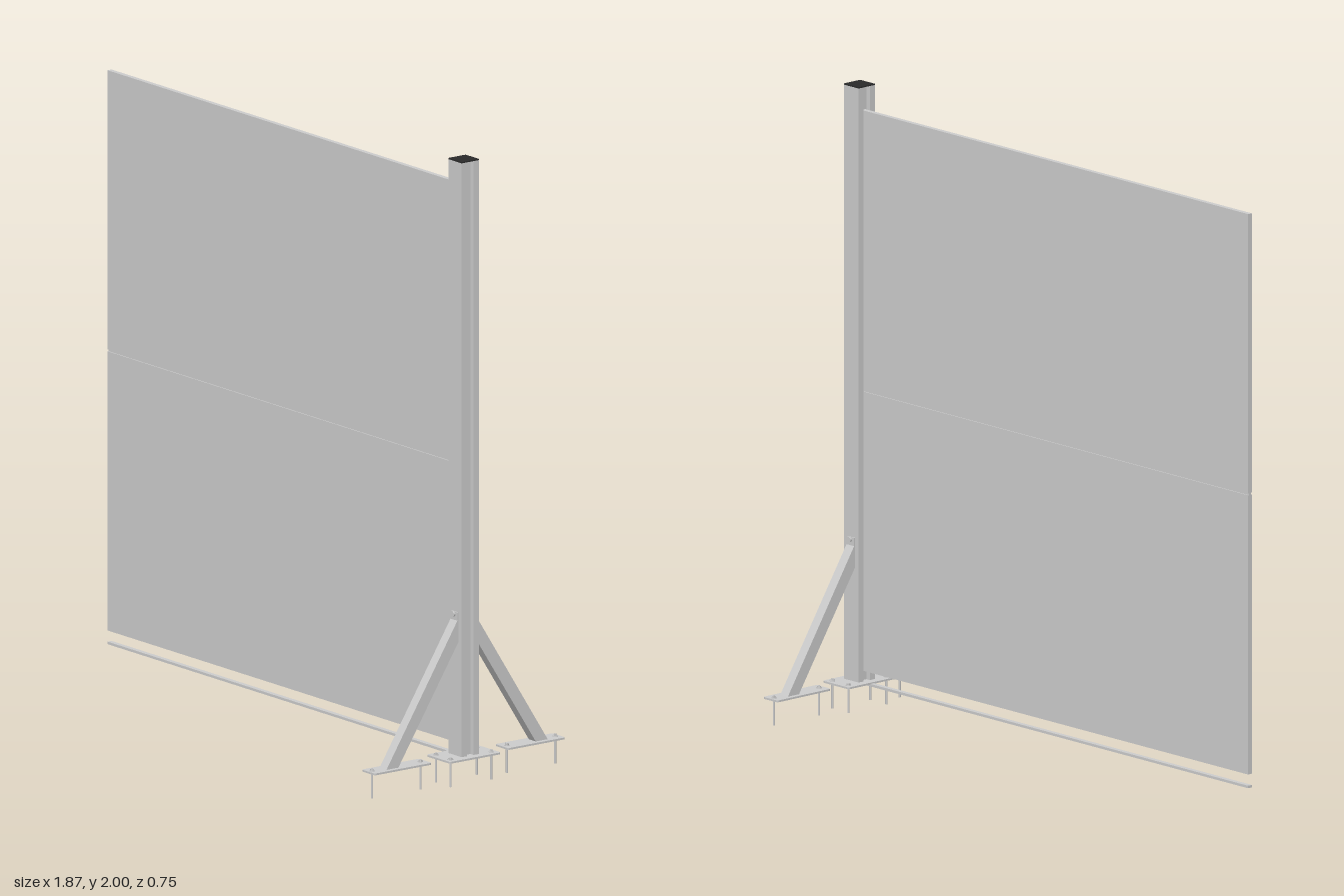
import * as THREE from 'three';

const grey = new THREE.MeshStandardMaterial({ color: 0xcccccc });
const dark = new THREE.MeshStandardMaterial({ color: 0x2a2a2a });
const POST_X = 0.87, PLATE_TOP = 0.088, PLATE_H = 0.006;

function add(parent, name, geometry, x = 0, y = 0, z = 0, material = grey) {
  const mesh = new THREE.Mesh(geometry, material);
  mesh.name = name;
  mesh.position.set(x, y, z);
  parent.add(mesh);
  return mesh;
}

function polygon(points) {
  return new THREE.Shape(points.map(([a, b]) => new THREE.Vector2(a, b)));
}

function extrude(shape, depth) {
  return new THREE.ExtrudeGeometry(shape, { depth, bevelEnabled: false, curveSegments: 6 });
}

// Flat plate with small rounded corners, lying in the xz plane
function plateGeometry(w, d, r = 0.008) {
  const s = new THREE.Shape();
  const a = w / 2, b = d / 2;
  s.moveTo(-a + r, -b);
  s.lineTo(a - r, -b).quadraticCurveTo(a, -b, a, -b + r);
  s.lineTo(a, b - r).quadraticCurveTo(a, b, a - r, b);
  s.lineTo(-a + r, b).quadraticCurveTo(-a, b, -a, b - r);
  s.lineTo(-a, -b + r).quadraticCurveTo(-a, -b, -a + r, -b);
  return extrude(s, PLATE_H).rotateX(-Math.PI / 2);
}

// Ground anchor: long shank, washer and hexagonal nut
function anchor(parent, x, z) {
  const g = new THREE.Group();
  g.name = 'anchorBolt';
  g.position.set(x, 0, z);
  add(g, 'shank', new THREE.CylinderGeometry(0.0035, 0.0035, 0.096, 10), 0, 0.048);
  add(g, 'washer', new THREE.CylinderGeometry(0.009, 0.009, 0.002, 14), 0, PLATE_TOP + 0.001);
  add(g, 'nut', new THREE.CylinderGeometry(0.0065, 0.0065, 0.005, 6), 0, PLATE_TOP + 0.0035);
  parent.add(g);
}

// Diagonal brace with its foot plate, built on the front side
function brace() {
  const g = new THREE.Group();
  g.name = 'brace';
  const side = polygon([[0.27, PLATE_TOP], [0.317, PLATE_TOP], [0.034, 0.53], [0.034, 0.455]]);
  const w = 0.035;
  add(g, 'strut', extrude(side, w).translate(0, 0, -w / 2).rotateY(-Math.PI / 2));
  add(g, 'footPlate', plateGeometry(0.066, 0.225), 0, PLATE_TOP - PLATE_H, 0.2625);
  anchor(g, 0, 0.17);
  anchor(g, 0, 0.36);
  // Fixing tab and bolt where the strut meets the post
  add(g, 'fixingTab', new THREE.BoxGeometry(0.035, 0.04, 0.004), 0, 0.53, 0.036);
  add(g, 'fixingBolt', new THREE.CylinderGeometry(0.008, 0.008, 0.008, 6).rotateX(Math.PI / 2), 0, 0.542, 0.04);
  return g;
}

export function createModel() {
  const model = new THREE.Group();
  model.name = 'fencePanelWithPost';

  // Two stacked wall panels with a recessed joint
  const left = -0.935, right = 0.855;
  const len = right - left, mid = (left + right) / 2;
  for (const [name, y0, y1] of [['lowerPanel', 0.12, 1.017], ['upperPanel', 1.023, 1.92]]) {
    add(model, name, new THREE.BoxGeometry(len, y1 - y0, 0.016), mid, (y0 + y1) / 2);
  }
  add(model, 'panelJoint', new THREE.BoxGeometry(len, 0.01, 0.009), mid, 1.02);
  add(model, 'bottomRail', new THREE.BoxGeometry(len, 0.008, 0.016), mid, 0.08);

  const stand = new THREE.Group();
  stand.name = 'postAssembly';
  stand.position.x = POST_X;
  model.add(stand);

  // Post with a slot down both sides
  const h = 0.034, s = 0.013, d = 0.018;
  const section = polygon([
    [-h, -h], [h, -h], [h, -s], [d, -s], [d, s], [h, s],
    [h, h], [-h, h], [-h, s], [-d, s], [-d, -s], [-h, -s],
  ]);
  add(stand, 'post', extrude(section, 1.996 - PLATE_TOP).rotateX(-Math.PI / 2), 0, PLATE_TOP);
  add(stand, 'postCap', new THREE.BoxGeometry(2 * h, 0.004, 2 * h), 0, 1.998, 0, dark);

  // Base plate with four anchors
  add(stand, 'basePlate', plateGeometry(0.12, 0.2), 0, PLATE_TOP - PLATE_H);
  for (const x of [-0.037, 0.037]) for (const z of [-0.08, 0.08]) anchor(stand, x, z);

  // Front and rear braces
  const front = brace();
  const rear = brace();
  rear.rotation.y = Math.PI;
  stand.add(front, rear);
  return model;
}
